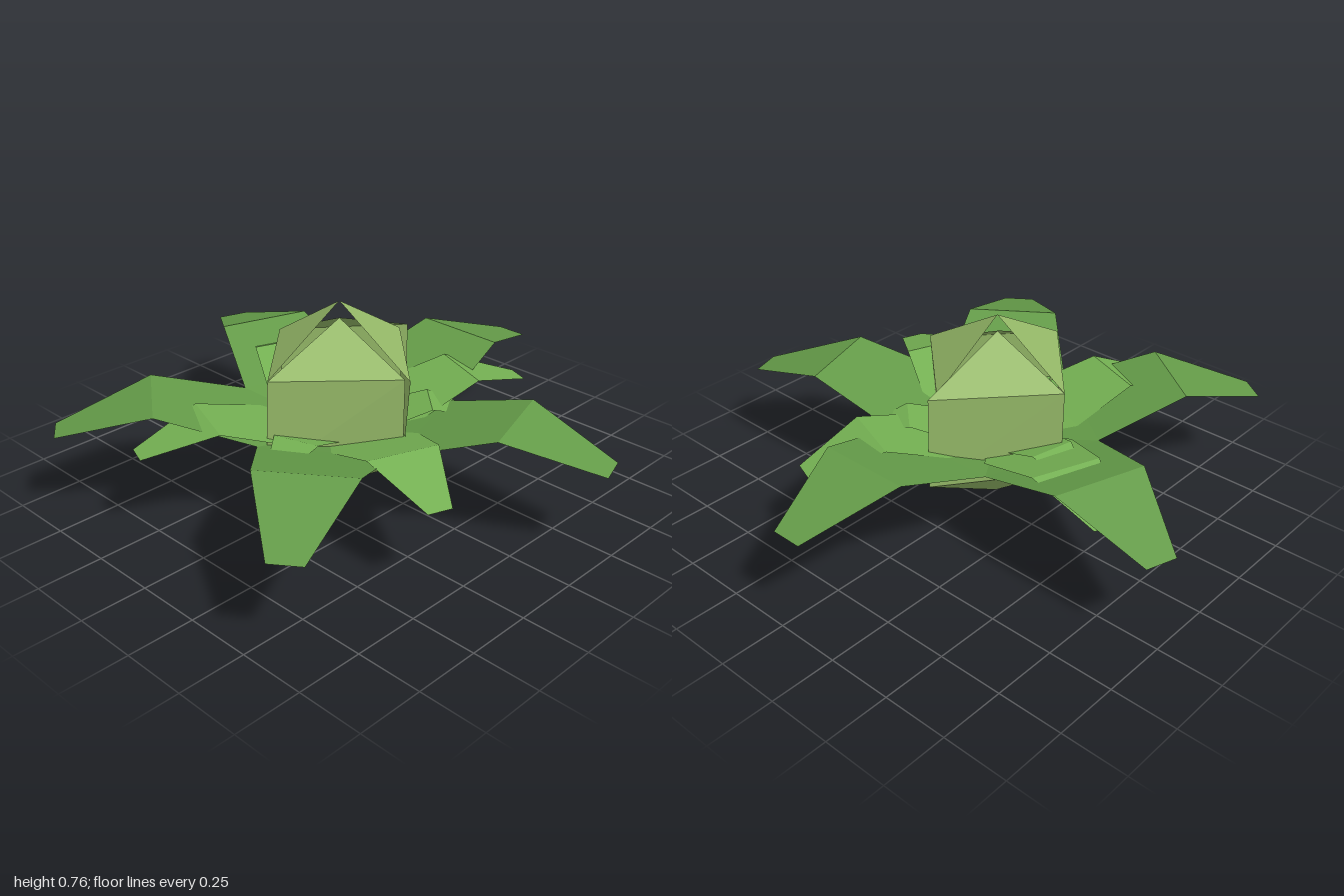
import * as THREE from 'three';

const flat = (color, name) => {
  const m = new THREE.MeshStandardMaterial({ color, side: THREE.DoubleSide, flatShading: true });
  m.name = name;
  return m;
};

// Skin a strip of left/right point pairs; ends may collapse to a single point.
function strip(rows) {
  const pos = rows.flat(2);
  const index = [];
  for (let i = 0; i < rows.length - 1; i++) {
    const a = i * 2;
    index.push(a, a + 1, a + 3, a, a + 3, a + 2);
  }
  const g = new THREE.BufferGeometry();
  g.setAttribute('position', new THREE.Float32BufferAttribute(pos, 3));
  g.setIndex(index);
  const out = g.toNonIndexed();
  out.computeVertexNormals();
  return out;
}

export function createModel() {
  const root = new THREE.Group();
  const plant = new THREE.Group();
  plant.name = 'plant';
  plant.position.x = -0.08;
  root.add(plant);

  const budGreen = flat(0x95b968, 'budGreen');
  const leafGreen = flat(0x649b48, 'leafGreen');
  const youngGreen = flat(0x74b052, 'youngLeafGreen');

  // Bud: four folded petals, each covering a quarter turn.
  // sx, sz: quarter; x, z: reach at the upper ring; top, bottom: tip heights
  const petals = [
    { sx: 1, sz: 1, x: 0.32, z: 0.345, top: 0.77, bottom: 0.03 },
    { sx: 1, sz: -1, x: 0.365, z: 0.32, top: 0.705, bottom: 0.005 },
    { sx: -1, sz: -1, x: 0.35, z: 0.32, top: 0.77, bottom: 0.03 },
    { sx: -1, sz: 1, x: 0.35, z: 0.32, top: 0.705, bottom: 0.03 },
  ];
  for (const { sx, sz, x, z, top, bottom } of petals) {
    const rows = [
      [[0, bottom, 0], [0, bottom, 0]],
      [[sx * 0.368, 0.205, 0], [0, 0.228, sz * 0.315]],
      [[sx * x, 0.57, 0], [0, 0.565, sz * z]],
      [[0, top, 0], [0, top, 0]],
    ];
    if (sx * sz < 0) rows.forEach((r) => r.reverse()); // keep outsides facing out
    rows.forEach((r) => r.reverse());
    const petal = new THREE.Mesh(strip(rows), budGreen);
    petal.name = 'budPetal';
    plant.add(petal);
  }

  // Leaf: rises from the stem to a crease, then bends down to a blunt tip.
  const section = (r, y, w) => [[r, y, -w], [r, y, w]];
  const leafShape = strip([
    section(0.02, -0.04, 0.06),
    section(0.33, 0.05, 0.24),
    section(0.68, 0.16, 0.18),
    section(1.03, 0.05, 0.06),
  ]);

  // Three rings of leaves, smaller towards the bottom.
  const rings = [
    { name: 'largeLeaf', count: 5, start: 0, size: 1, material: leafGreen },
    { name: 'middleLeaf', count: 4, start: 20.5, size: 0.75, material: youngGreen },
    { name: 'smallLeaf', count: 3, start: 42, size: 0.49, material: youngGreen },
  ];
  for (const { name, count, start, size, material } of rings) {
    for (let i = 0; i < count; i++) {
      const leaf = new THREE.Mesh(leafShape, material);
      leaf.name = name;
      leaf.position.y = 0.29;
      leaf.scale.setScalar(size);
      leaf.rotation.y = -THREE.MathUtils.degToRad(start + (360 / count) * i);
      plant.add(leaf);
    }
  }
  // Winding of the leaf strip faces up: (r, -z) to (r, +z) to next section.
  return root;
}
